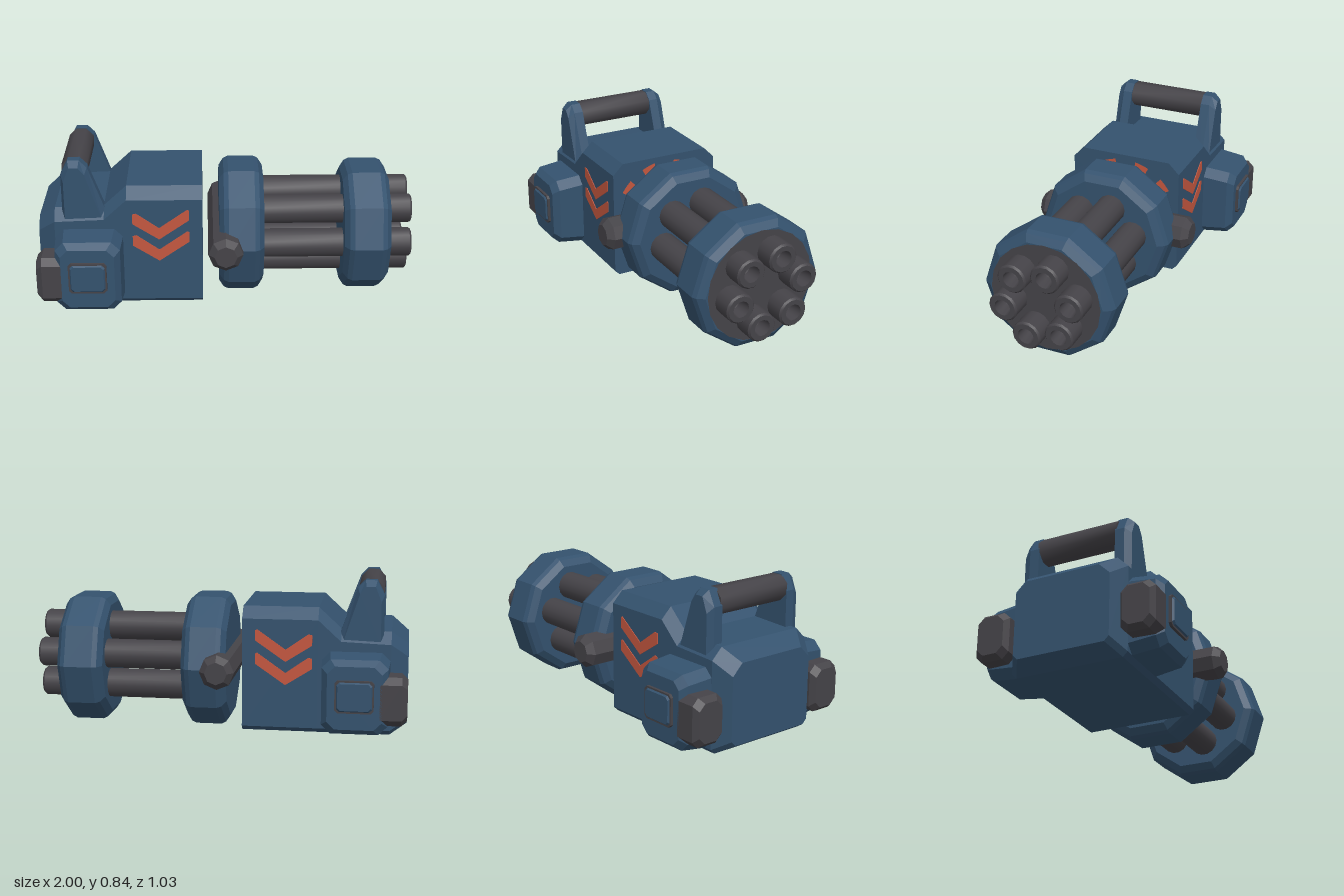
import * as THREE from 'three';
import { toCreasedNormals } from 'three/addons/utils/BufferGeometryUtils.js';

const paint = (name, color) => {
  const m = new THREE.MeshStandardMaterial({ color });
  m.name = name;
  return m;
};

// Skin a row of equal-sized convex outlines ([x, y, z] points) and cap both ends.
function loft(sections) {
  const tris = [], n = sections[0].length;
  for (let s = 0; s + 1 < sections.length; s++) {
    for (let i = 0; i < n; i++) {
      const j = (i + 1) % n, a = sections[s], b = sections[s + 1];
      tris.push([a[i], a[j], b[j]], [a[i], b[j], b[i]]);
    }
  }
  const first = sections[0], last = sections[sections.length - 1];
  for (let i = 1; i + 1 < n; i++) {
    tris.push([first[0], first[i + 1], first[i]], [last[0], last[i], last[i + 1]]);
  }
  // A negative volume means the faces point inward
  const v = tris.map(t => t.map(p => new THREE.Vector3(...p)));
  const volume = v.reduce((sum, [a, b, c]) => sum + a.dot(b.clone().cross(c)), 0);
  if (volume < 0) v.forEach(t => t.reverse());
  const g = new THREE.BufferGeometry().setFromPoints(v.flat());
  g.computeVertexNormals();
  return g;
}

// Rectangle with cut corners
const cutRect = (x0, x1, y0, y1, c, d = c) => [
  [x0 + c, y0], [x1 - c, y0], [x1, y0 + c], [x1, y1 - d],
  [x1 - d, y1], [x0 + d, y1], [x0, y1 - d], [x0, y0 + c],
];
const atZ = (pts, z) => pts.map(([x, y]) => [x, y, z]);
const atX = (pts, x) => pts.map(([z, y]) => [x, y, z]);

// Turned part along x; crease 0 keeps every facet flat
function turned(points, sides, crease) {
  const g = new THREE.LatheGeometry(points.map(([r, x]) => new THREE.Vector2(r, x)), sides);
  g.rotateZ(-Math.PI / 2);
  return toCreasedNormals(g, crease);
}

export function createModel() {
  const blue = paint('blue paint', 0x34526e);
  const dark = paint('dark metal', 0x454348);
  const orange = paint('orange marking', 0xc4573f);
  const model = new THREE.Group();
  model.name = 'rotaryCannon';
  const axisY = 0.356;

  const add = (name, geometry, material, x = 0, y = 0, z = 0) => {
    const mesh = new THREE.Mesh(geometry, material);
    mesh.name = name;
    mesh.position.set(x, y, z);
    model.add(mesh);
    return mesh;
  };

  // Main housing: x, half width, bottom, top
  const hull = [
    [-1, 0.26, 0.08, 0.5], [-0.91, 0.315, 0.025, 0.57], [-0.65, 0.315, 0.025, 0.58],
    [-0.53, 0.315, 0.025, 0.69], [-0.13, 0.315, 0.025, 0.69],
  ].map(([x, w, y0, y1]) => atX(cutRect(-w, w, y0, y1, 0.025, 0.06), x));
  add('housing', loft(hull), blue);

  // Painted bands on the housing's inner end
  for (const angle of [0.7, 1.25, 1.9, 2.45, 3.84, 4.4, 5.03, 5.6]) {
    const band = new THREE.RingGeometry(0.26, 0.31, 6, 1, angle - 0.13, 0.26);
    band.rotateY(Math.PI / 2);
    add('endMarking', band, orange, -0.125, axisY, 0);
  }

  // Parts on both sides
  const chevron = new THREE.Shape([
    [-0.5, 0.55], [-0.48, 0.555], [-0.36, 0.47], [-0.21, 0.575], [-0.2, 0.57],
    [-0.2, 0.515], [-0.36, 0.405], [-0.5, 0.495],
  ].map(p => new THREE.Vector2(...p)));
  const postOutline = [
    [-0.87, 0.5], [-0.87, 0.76], [-0.83, 0.84], [-0.77, 0.84], [-0.73, 0.8], [-0.62, 0.5],
  ];
  const postInset = postOutline.map(([x, y]) => [-0.79 + (x + 0.79) * 0.8, y > 0.6 ? y - 0.03 : y]);

  for (const s of [1, -1]) {
    const side = s > 0 ? 'left' : 'right';

    // Side pod with its raised panel
    add(side + 'Pod', loft([
      atZ(cutRect(-0.91, -0.55, 0.045, 0.47, 0.045), s * 0.29),
      atZ(cutRect(-0.9, -0.56, 0.065, 0.455, 0.045), s * 0.455),
      atZ(cutRect(-0.87, -0.59, 0.095, 0.425, 0.04), s * 0.49),
    ]), blue);
    add(side + 'PanelRim', loft([
      atZ(cutRect(-0.83, -0.63, 0.185, 0.355, 0.015), s * 0.48),
      atZ(cutRect(-0.83, -0.63, 0.185, 0.355, 0.015), s * 0.505),
    ]), dark);
    add(side + 'Panel', loft([
      atZ(cutRect(-0.825, -0.635, 0.19, 0.35, 0.015), s * 0.5),
      atZ(cutRect(-0.815, -0.645, 0.2, 0.34, 0.015), s * 0.514),
    ]), blue);

    // Dark block behind the pod
    add(side + 'RearBlock', loft([
      [-0.86, 0.305, 0.49, 0.115, 0.37], [-0.97, 0.305, 0.49, 0.115, 0.37],
      [-1, 0.325, 0.47, 0.14, 0.345],
    ].map(([x, z0, z1, y0, y1]) => atX(cutRect(z0, z1, y0, y1, 0.035).map(([z, y]) => [s * z, y]), x))), dark);

    // Handle post
    add(side + 'HandlePost', loft([
      atZ(postOutline, s * 0.218), atZ(postOutline, s * 0.27), atZ(postInset, s * 0.305),
    ]), blue);

    // Pair of side chevrons
    for (const drop of [0, 0.125]) {
      const plate = new THREE.ExtrudeGeometry(chevron, { depth: 0.006, bevelEnabled: false });
      add(side + 'Chevron', plate, orange, 0, -drop, s > 0 ? 0.313 : -0.319);
    }
  }

  // Handle grip
  const grip = turned([[0, -0.225], [0.072, -0.225], [0.072, 0.225], [0, 0.225]], 8, 0.9);
  grip.rotateX(Math.PI / 8);
  grip.rotateY(Math.PI / 2);
  add('handleGrip', grip, dark, -0.8, 0.77, 0);

  // Cross pin through the rear ring
  const pin = turned([
    [0, -0.445], [0.06, -0.445], [0.093, -0.41], [0.093, 0.41], [0.06, 0.445], [0, 0.445],
  ], 8, 0);
  pin.rotateY(Math.PI / 2);
  add('crossPin', pin, dark, -0.008, axisY, 0);

  // Barrel rings
  const ring = (x0, x1, r) => turned([
    [0, x0], [r - 0.05, x0], [r - 0.012, x0 + 0.025], [r, x0 + 0.05],
    [r, x1 - 0.05], [r - 0.012, x1 - 0.025], [r - 0.05, x1], [0, x1],
  ], 10, 0);
  add('rearRing', ring(-0.04, 0.2, 0.372), blue, 0, axisY, 0);
  add('frontRing', ring(0.63, 0.88, 0.362), blue, 0, 0.35, 0);
  const face = new THREE.CircleGeometry(0.302, 20);
  face.rotateY(Math.PI / 2);
  add('muzzlePlate', face, dark, 0.884, 0.35, 0);

  // Six hollow barrels
  const barrel = turned([
    [0, 0.18], [0.079, 0.18], [0.079, 0.99], [0.07, 1], [0.044, 1], [0.036, 0.92], [0, 0.9],
  ], 14, 0.7);
  for (let i = 0; i < 6; i++) {
    const a = (i * 60 - 12.5) * Math.PI / 180;
    add('barrel', barrel, dark, 0, axisY + 0.185 * Math.sin(a), 0.185 * Math.cos(a));
  }
  return model;
}
